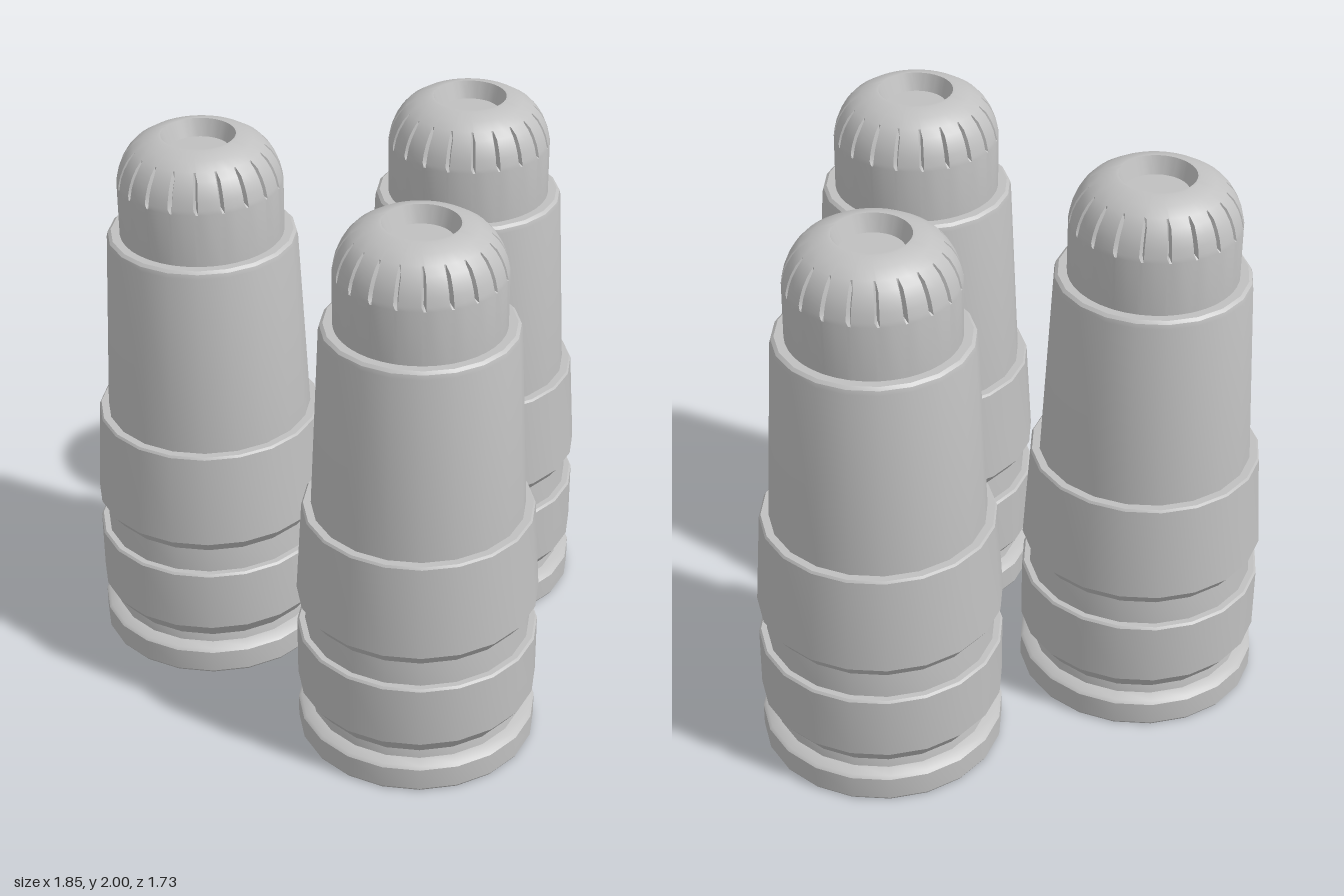
import * as THREE from 'three';
import { toCreasedNormals } from 'three/addons/utils/BufferGeometryUtils.js';

const SIDES = 20;

// Turned part from an outline of [radius, height] pairs, listed from bottom to top
function turned(outline, segments = SIDES) {
  return new THREE.LatheGeometry(outline.map(([r, y]) => new THREE.Vector2(r, y)), segments);
}

// Rounded tip: every fourth column is the bottom of a narrow slit
function tipGeometry() {
  const outline = [
    [0.29, 1.63], [0.29, 1.83], [0.287, 1.845], [0.28, 1.875], [0.268, 1.905],
    [0.25, 1.935], [0.227, 1.96], [0.19, 1.983], [0.14, 2.0],
    [0.13, 2.0], [0.108, 1.94], [0, 1.94],
  ];
  const geometry = turned(outline, SIDES * 4);
  const offsets = [0, 0.028, Math.PI / SIDES, 2 * Math.PI / SIDES - 0.028];
  const pos = geometry.attributes.position;
  for (let i = 0; i < pos.count; i++) {
    const column = Math.floor(i / outline.length);
    const [radius, y] = outline[i % outline.length];
    const angle = Math.floor(column / 4) * 2 * Math.PI / SIDES + offsets[column % 4];
    const inSlit = column % 4 === 0 && y > 1.84 && y < 1.95 && radius > 0.2;
    const r = inSlit ? radius - 0.02 : radius;
    pos.setXYZ(i, r * Math.sin(angle), y, r * Math.cos(angle));
  }
  return geometry;
}

export function createModel() {
  const model = new THREE.Group();
  const metal = new THREE.MeshStandardMaterial({ color: 0xc0c0c0 });
  metal.name = 'grey metal';

  const parts = {
    // foot rim and groove above it
    base: turned([
      [0, 0], [0.42, 0], [0.425, 0.008], [0.425, 0.09], [0.415, 0.1], [0.38, 0.11],
      [0.375, 0.14], [0.425, 0.205], [0.425, 0.432], [0.418, 0.44], [0.39, 0.44],
    ]),
    // tapering collar over a second groove
    collar: turned([
      [0.397, 0.44], [0.391, 0.53], [0.425, 0.575], [0.403, 0.922], [0.397, 0.93], [0.36, 0.93],
    ]),
    // long tapering sleeve
    sleeve: turned([
      [0.37, 0.93], [0.337, 1.61], [0.333, 1.626], [0.322, 1.635], [0.28, 1.635],
    ]),
    // slit dome with a hollow top
    tip: tipGeometry(),
  };
  for (const name in parts) parts[name] = toCreasedNormals(parts[name], 0.55);

  // three identical upright pieces in a triangle
  const places = [['front', 0, 0.44], ['backLeft', 0.5, -0.44], ['backRight', -0.5, -0.44]];
  for (const [place, x, z] of places) {
    const piece = new THREE.Group();
    piece.name = place + 'Cartridge';
    piece.position.set(x, 0, z);
    for (const name in parts) {
      const mesh = new THREE.Mesh(parts[name], metal);
      mesh.name = name;
      piece.add(mesh);
    }
    model.add(piece);
  }
  return model;
}
